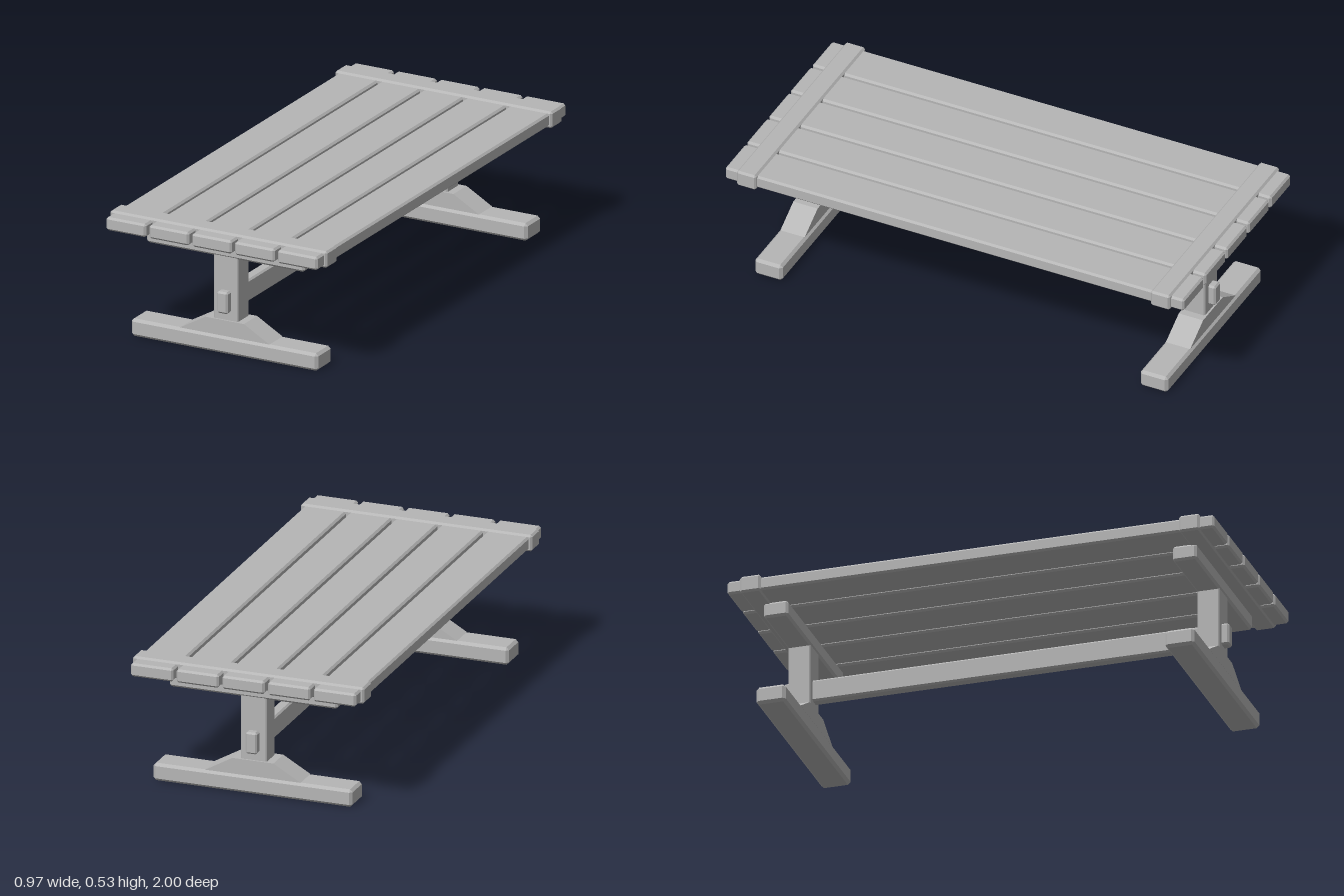
import * as THREE from 'three';
import { ConvexGeometry } from 'three/addons/geometries/ConvexGeometry.js';

const wood = new THREE.MeshStandardMaterial({ color: 0xb6b6b6 });
wood.name = 'grey wood';

// Box with chamfered edges: three points near every corner, wrapped in a hull
function timber(name, [w, h, d], [x, y, z], c) {
  const pts = [];
  for (const sx of [-1, 1]) for (const sy of [-1, 1]) for (const sz of [-1, 1]) {
    const [a, b, e] = [w / 2, h / 2, d / 2];
    pts.push(
      new THREE.Vector3(sx * a, sy * (b - c), sz * (e - c)),
      new THREE.Vector3(sx * (a - c), sy * b, sz * (e - c)),
      new THREE.Vector3(sx * (a - c), sy * (b - c), sz * e));
  }
  const mesh = new THREE.Mesh(new ConvexGeometry(pts), wood);
  mesh.name = name;
  mesh.position.set(x, y, z);
  return mesh;
}

// Tapered block between the foot and the post
function taperedBlock(z) {
  const shape = new THREE.Shape([[-0.2, 0.073], [0.2, 0.073], [0.086, 0.138], [-0.086, 0.138]]
    .map(([x, y]) => new THREE.Vector2(x, y)));
  const depth = 0.106;
  const geo = new THREE.ExtrudeGeometry(shape, { depth, bevelEnabled: false });
  geo.translate(0, 0, z - depth / 2);
  const mesh = new THREE.Mesh(geo, wood);
  mesh.name = 'footBlock';
  return mesh;
}

export function createModel() {
  const table = new THREE.Group();
  table.name = 'trestleTable';

  // Table top: five planks
  const top = new THREE.Group();
  top.name = 'tableTop';
  for (let i = -2; i <= 2; i++) {
    top.add(timber('plank', [0.178, 0.055, 2], [i * 0.1915, 0.49, 0], 0.008));
  }
  table.add(top);

  for (const side of [1, -1]) {
    // Batten across the plank ends
    top.add(timber('endBatten', [0.97, 0.069, 0.085], [0, 0.491, side * 0.902], 0.008));

    // Trestle
    const z = side * 0.84;
    const trestle = new THREE.Group();
    trestle.name = side > 0 ? 'frontTrestle' : 'backTrestle';
    trestle.add(
      timber('foot', [0.834, 0.073, 0.12], [0, 0.0365, z], 0.011),
      taperedBlock(z),
      timber('post', [0.11, 0.325, 0.09], [0, 0.2945, z], 0.005),
      timber('topBeam', [0.706, 0.064, 0.1], [0, 0.43, z], 0.009));
    table.add(trestle);
  }

  // Stretcher through both posts
  table.add(timber('stretcher', [0.048, 0.09, 1.83], [0, 0.217, 0], 0.007));
  return table;
}
